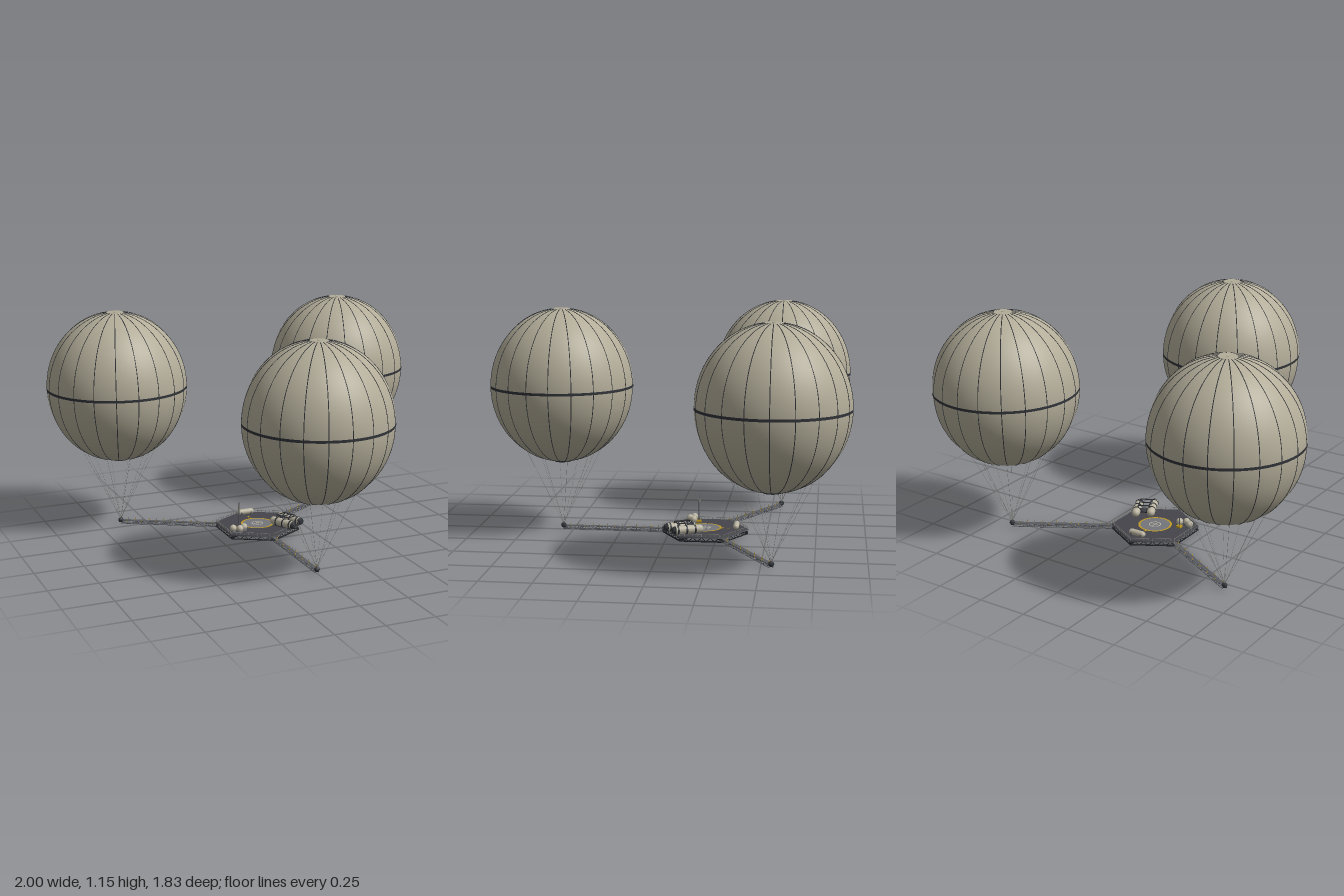
import * as THREE from 'three';
import { mergeGeometries } from 'three/addons/utils/BufferGeometryUtils.js';

const mat = (name, color) => Object.assign(new THREE.MeshStandardMaterial({ color }), { name });
const V = (x, y, z) => new THREE.Vector3(x, y, z);

export function createModel() {
  const fabric = mat('envelope fabric', 0xb2ac98);
  const seam = mat('seam dark', 0x303338);
  const steel = mat('truss steel', 0x5a5c61);
  const deckGrey = mat('deck grey', 0x45444a);
  const under = mat('underside black', 0x222327);
  const padGrey = mat('pad grey', 0x73767b);
  const yellow = mat('marking yellow', 0xc09a22);
  const pale = mat('pale shell', 0xb9b3a0);
  const rope = mat('rope grey', 0x85857f);

  const model = new THREE.Group();
  const CZ = -0.184, ARM = 0.734, HEX = 0.222, DECK = 0.034;

  const add = (parent, name, geo, material, x = 0, y = 0, z = 0) => {
    const m = new THREE.Mesh(geo, material);
    m.name = name;
    m.position.set(x, y, z);
    parent.add(m);
    return m;
  };
  const group = (parent, name, x = 0, y = 0, z = 0) => {
    const g = new THREE.Group();
    g.name = name;
    g.position.set(x, y, z);
    parent.add(g);
    return g;
  };
  // straight bar between two points
  const bar = (a, b, r, sides = 4) => {
    const d = b.clone().sub(a);
    const g = new THREE.CylinderGeometry(r, r, d.length(), sides);
    g.applyQuaternion(new THREE.Quaternion().setFromUnitVectors(V(0, 1, 0), d.normalize()));
    const c = a.clone().add(b).multiplyScalar(0.5);
    return g.translate(c.x, c.y, c.z);
  };
  const flatRing = (inner, outer) => new THREE.RingGeometry(inner, outer, 40).rotateX(-Math.PI / 2);

  // ---- Balloon geometry, shared by all three ----
  const R = 0.361, H = 0.39, MID = 0.761, GORES = 20;
  const t0 = Math.asin(0.045 / R);
  const at = (i, n, grow = 0) => {
    const t = Math.PI - t0 - (i / n) * (Math.PI - 2 * t0);
    return [(R + grow) * Math.sin(t), MID + (H + grow) * Math.cos(t)];
  };
  const profile = Array.from({ length: 37 }, (_, i) => new THREE.Vector2(...at(i, 36)));
  const envelopeGeo = new THREE.LatheGeometry(profile, 60);
  const ribs = [], ropes = [];
  for (let k = 0; k < GORES; k++) {
    const a = (k / GORES) * Math.PI * 2;
    const pts = Array.from({ length: 25 }, (_, i) => {
      const [r, y] = at(i, 24, 0.0003);
      return V(r * Math.sin(a), y, r * Math.cos(a));
    });
    ribs.push(new THREE.TubeGeometry(new THREE.CatmullRomCurve3(pts), 36, 0.002, 4));
    if (k % 2 === 0) ropes.push(bar(V(0, 0.035, 0), V(0.2 * Math.sin(a), 0.438, 0.2 * Math.cos(a)), 0.0008, 3));
  }
  const ribGeo = mergeGeometries(ribs), ropeGeo = mergeGeometries(ropes);

  // ---- Truss boom geometry along +z ----
  const W = 0.01, LOW = 0.011, TOP = 0.027, BAYS = 14, START = HEX - 0.02;
  const chords = [], posts = [], lamps = [];
  for (const x of [-W, W]) for (const y of [LOW, TOP]) chords.push(bar(V(x, y, START), V(x, y, ARM), 0.0018));
  for (let i = 0; i < BAYS; i++) {
    const step = (ARM - START) / BAYS, z = START + i * step, flip = i % 2;
    for (const x of [-W, W]) {
      chords.push(bar(V(x, flip ? TOP : LOW, z), V(x, flip ? LOW : TOP, z + step), 0.001));
      chords.push(bar(V(x, LOW, z), V(x, TOP, z), 0.001));
      posts.push(bar(V(x, TOP, z), V(x, TOP + 0.014, z), 0.0009));
    }
    chords.push(bar(V(-W, LOW, z), V(W, LOW, z), 0.001));
    chords.push(bar(V(flip ? W : -W, LOW, z), V(flip ? -W : W, LOW, z + step), 0.001));
    lamps.push(new THREE.BoxGeometry(0.004, 0.005, 0.004).translate(flip ? W : -W, TOP + 0.004, z));
  }
  const boomGeo = mergeGeometries(chords), postGeo = mergeGeometries(posts), lampGeo = mergeGeometries(lamps);
  const walkGeo = new THREE.BoxGeometry(2 * W, 0.002, ARM - START);

  ['front', 'left', 'right'].forEach((side, i) => {
    const a = i * Math.PI * 2 / 3;
    const boom = group(model, side + 'Boom', 0, 0, CZ);
    boom.rotation.y = a;
    add(boom, 'truss', boomGeo, steel);
    add(boom, 'catwalk', walkGeo, steel, 0, TOP, (START + ARM) / 2);
    add(boom, 'railPosts', postGeo, rope);
    add(boom, 'boomLamps', lampGeo, yellow);

    const b = group(model, side + 'Balloon', ARM * Math.sin(a), 0, CZ + ARM * Math.cos(a));
    add(b, 'envelope', envelopeGeo, fabric);
    add(b, 'seams', ribGeo, seam);
    add(b, 'equatorBand', new THREE.CylinderGeometry(R + 0.0025, R + 0.0025, 0.013, 60, 1, true), seam, 0, MID, 0);
    add(b, 'topCap', new THREE.CylinderGeometry(0.044, 0.047, 0.006, 32), fabric, 0, 1.148, 0);
    add(b, 'topVent', new THREE.CylinderGeometry(0.009, 0.009, 0.003, 16), pale, 0, 1.152, 0);
    add(b, 'bottomCollar', new THREE.CylinderGeometry(0.049, 0.045, 0.012, 32), seam, 0, 0.373, 0);
    add(b, 'rigging', ropeGeo, rope);
    add(b, 'anchor', new THREE.OctahedronGeometry(0.015, 1), seam, 0, 0.028, 0);
  });

  // ---- Hexagonal platform ----
  const platform = group(model, 'platform', 0, 0, CZ);
  add(platform, 'deck', new THREE.CylinderGeometry(HEX, HEX, 0.008, 6), [steel, deckGrey, deckGrey], 0, DECK - 0.004, 0);
  const frame = [], rails = [];
  const corner = (k, r, y) => V(r * Math.sin(k * Math.PI / 3), y, r * Math.cos(k * Math.PI / 3));
  for (let k = 0; k < 6; k++) {
    const p = corner(k, HEX - 0.003, 0), q = corner(k + 1, HEX - 0.003, 0);
    const on = (t, y) => p.clone().lerp(q, t).setY(y);
    frame.push(bar(on(0, 0.01), on(1, 0.01), 0.004));
    frame.push(bar(V(0, 0.016, 0), on(0, 0.016), 0.007));
    frame.push(bar(corner(k, HEX / 2, 0.02), corner(k + 1, HEX / 2, 0.02), 0.005));
    rails.push(bar(on(0, DECK + 0.012), on(1, DECK + 0.012), 0.0012));
    for (let j = 0; j < 10; j++) {
      frame.push(bar(on(j / 10, j % 2 ? 0.028 : 0.01), on((j + 1) / 10, j % 2 ? 0.01 : 0.028), 0.002));
      rails.push(bar(on(j / 10, DECK), on(j / 10, DECK + 0.012), 0.0014));
    }
  }
  add(platform, 'underFrame', mergeGeometries(frame), under);
  add(platform, 'railing', mergeGeometries(rails), rope);

  // ---- Landing pad ----
  add(platform, 'padDisc', new THREE.CylinderGeometry(0.078, 0.078, 0.002, 40), padGrey, 0, DECK + 0.001, 0);
  add(platform, 'padRing', flatRing(0.076, 0.086), yellow, 0, DECK + 0.0026, 0);
  add(platform, 'padTarget', flatRing(0.026, 0.031), pale, 0, DECK + 0.0026, 0);
  for (const [w, d] of [[0.05, 0.004], [0.004, 0.05]])
    add(platform, 'padCross', new THREE.BoxGeometry(w, 0.001, d), pale, 0, DECK + 0.0025, 0);
  for (const z of [0.09, 0.12])
    add(platform, 'padMarker', new THREE.BoxGeometry(0.008, 0.002, 0.012), yellow, 0, DECK + 0.001, -z);

  // ---- Rear storage tank ----
  const tank = group(model, 'rearTank', 0, DECK + 0.018, -0.345);
  add(tank, 'tankShell', new THREE.CapsuleGeometry(0.015, 0.064, 6, 16).rotateZ(Math.PI / 2), pale);
  for (const x of [-0.028, 0.028]) add(tank, 'tankCradle', new THREE.BoxGeometry(0.006, 0.02, 0.032), steel, x, -0.009, 0);

  // ---- Cluster of round tanks and the mast ----
  [[-0.165, -0.115], [-0.135, -0.095], [-0.105, -0.115]].forEach(([x, z]) => {
    add(model, 'roundTank', new THREE.SphereGeometry(0.018, 16, 12), pale, x, DECK + 0.018, z);
    add(model, 'tankBase', new THREE.CylinderGeometry(0.014, 0.017, 0.006, 12), steel, x, DECK + 0.003, z);
  });
  const mast = group(model, 'mast', -0.12, DECK, -0.142);
  add(mast, 'mastPole', new THREE.CylinderGeometry(0.002, 0.003, 0.145, 6), steel, 0, 0.0725, 0);
  add(mast, 'mastSensor', new THREE.CylinderGeometry(0.006, 0.006, 0.016, 10), rope, 0, 0.115, 0);
  add(mast, 'mastBase', new THREE.BoxGeometry(0.024, 0.01, 0.024), yellow, 0, 0.005, 0);

  // ---- Twin-hull habitat in a dark frame ----
  const hab = group(model, 'habitat', 0.124, DECK + 0.028, -0.093);
  hab.rotation.y = 0.44;
  for (const s of [-1, 1]) {
    const x = s * 0.038, z = s < 0 ? 0.012 : -0.004;
    add(hab, 'hull', new THREE.CapsuleGeometry(0.021, 0.122, 6, 18).rotateX(Math.PI / 2), pale, x, 0, z);
    for (const d of [-0.035, 0.01, 0.055])
      add(hab, 'hullBand', new THREE.CylinderGeometry(0.0225, 0.0225, 0.008, 18).rotateX(Math.PI / 2), seam, x, 0, z + d);
    add(hab, 'noseCap', new THREE.CylinderGeometry(0.014, 0.021, 0.016, 16).rotateX(Math.PI / 2), seam, x, 0, z + 0.075);
    add(hab, 'skid', new THREE.BoxGeometry(0.008, 0.012, 0.12), steel, x, -0.022, z);
  }
  const cage = [];
  for (const z of [-0.035, 0.005, 0.045]) {
    const arch = [V(-0.048, -0.02, z), V(-0.028, 0.03, z), V(0.028, 0.03, z), V(0.048, -0.02, z)];
    for (let i = 0; i < 3; i++) cage.push(bar(arch[i], arch[i + 1], 0.0032));
  }
  for (const x of [-0.028, 0.028]) cage.push(bar(V(x, 0.03, -0.035), V(x, 0.03, 0.045), 0.0032));
  add(hab, 'roofFrame', mergeGeometries(cage), seam);
  add(hab, 'linkTunnel', new THREE.CylinderGeometry(0.012, 0.012, 0.06, 12).rotateZ(Math.PI / 2), seam, 0, 0, -0.03);
  add(hab, 'hatchBox', new THREE.BoxGeometry(0.022, 0.02, 0.026), steel, 0, 0.008, -0.03);

  return model;
}
